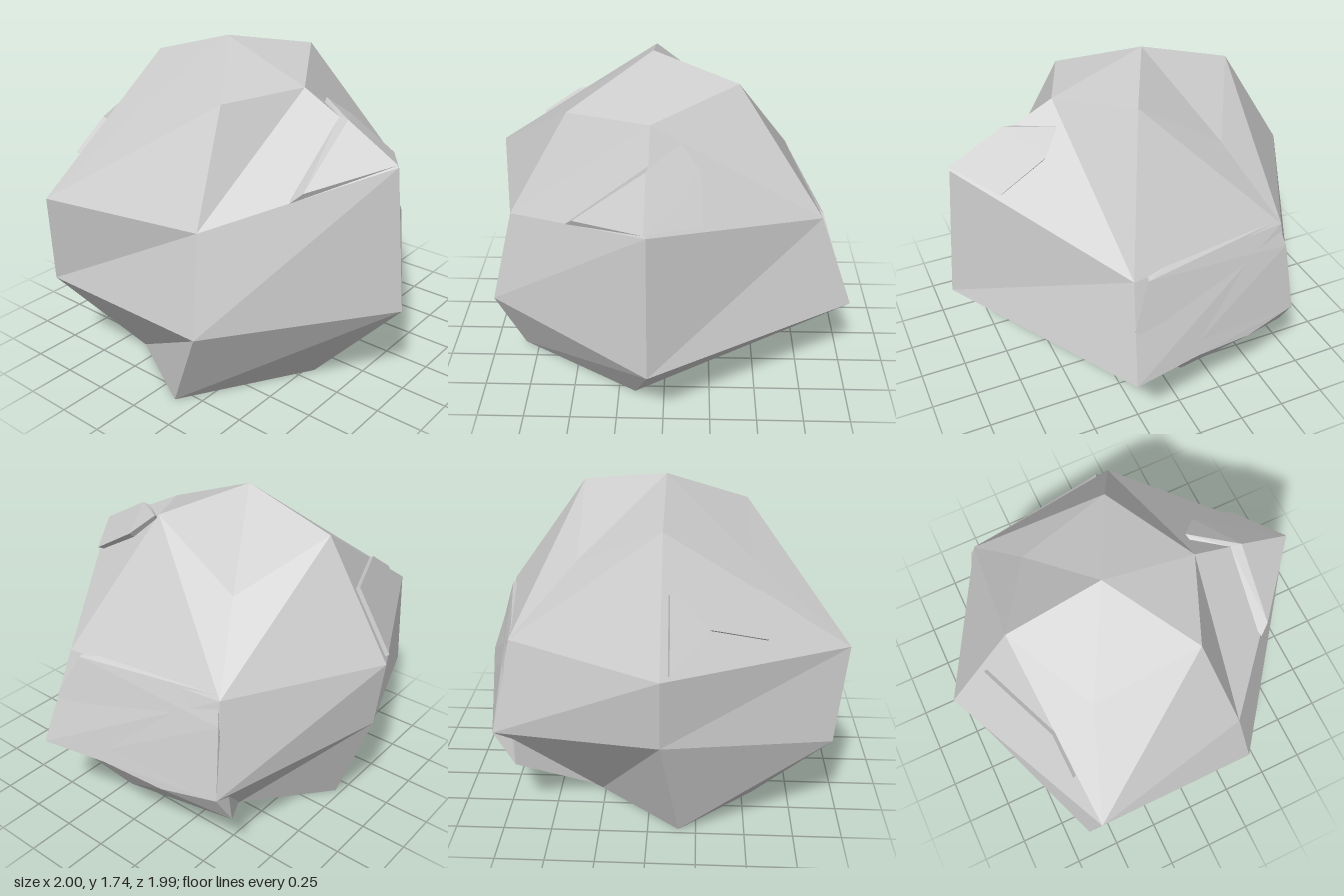
import * as THREE from 'three';
import { ConvexGeometry } from 'three/addons/geometries/ConvexGeometry.js';

const stone = new THREE.MeshStandardMaterial({ color: 0xcccccc, flatShading: true });

// Six-sided rings from the ground up: right, front right, front left, left, back left, back right
const RINGS = [
  [[0.54, 0, 0.16], [0.13, 0, 0.83], [-0.36, 0, 0.56], [-0.72, 0, 0.16], [-0.36, 0, -0.27], [0.13, 0, -0.27]],
  [[1, 0.5, 0.07], [0.37, 0.5, 0.93], [-0.63, 0.5, 0.93], [-0.96, 0.63, 0.07], [-0.63, 0.5, -0.8], [0.37, 0.5, -1]],
  [[0.93, 1.26, 0.07], [0.3, 1, 0.81], [-0.57, 1, 0.99], [-1, 1, 0.07], [-0.57, 1, -0.7], [0.31, 1, -0.82]],
  [[0.37, 1.55, 0.07], [0.19, 1.53, 0.5], [-0.38, 1.38, 0.5], [-0.63, 1.59, 0.07], [-0.38, 1.35, -0.37], [0.09, 1.65, -0.37]],
];
const TOP = [-0.13, 1.74, 0.07];
const BASE = [-0.11, 0, 0.22];
// Facets of the upper band whose crease leans the other way
const TURNED = [2, 4, 5];

function add(group, name, geometry) {
  const mesh = new THREE.Mesh(geometry, stone);
  mesh.name = name;
  group.add(mesh);
}

// Main boulder: triangles between neighbouring rings, closed at base and top
function boulderGeometry() {
  const p = [];
  const tri = (a, b, c) => p.push(...a, ...b, ...c);
  for (let k = 0; k < 6; k++) {
    const n = (k + 1) % 6;
    tri(BASE, RINGS[0][k], RINGS[0][n]);
    for (let r = 0; r < 3; r++) {
      const lo = RINGS[r], hi = RINGS[r + 1];
      if (r === 2 && TURNED.includes(k)) {
        tri(lo[n], lo[k], hi[n]);
        tri(lo[k], hi[k], hi[n]);
      } else {
        tri(lo[n], lo[k], hi[k]);
        tri(lo[n], hi[k], hi[n]);
      }
    }
    tri(RINGS[3][n], RINGS[3][k], TOP);
  }
  const g = new THREE.BufferGeometry();
  g.setAttribute('position', new THREE.Float32BufferAttribute(p, 3));
  g.computeVertexNormals();
  return g;
}

// Thin plate drawn in x and y, laid on the plane of a facet and standing out by the given height
function plateGeometry(outline, corners, height) {
  const sunk = 0.02;
  const shape = new THREE.Shape(outline.map(([x, y]) => new THREE.Vector2(x, y)));
  const g = new THREE.ExtrudeGeometry(shape, { depth: height + sunk, bevelEnabled: false });
  const plane = new THREE.Plane().setFromCoplanarPoints(...corners.map((q) => new THREE.Vector3(...q)));
  const n = plane.normal;
  const pos = g.attributes.position;
  for (let i = 0; i < pos.count; i++) {
    const x = pos.getX(i), y = pos.getY(i), h = pos.getZ(i) - sunk;
    const z = -(plane.constant + n.x * x + n.y * y) / n.z;
    pos.setXYZ(i, x + n.x * h, y + n.y * h, z + n.z * h);
  }
  g.computeVertexNormals();
  return g;
}

const chunk = (points) => new ConvexGeometry(points.map((q) => new THREE.Vector3(...q)));

export function createModel() {
  const rock = new THREE.Group();
  rock.name = 'rock';
  add(rock, 'boulder', boulderGeometry());

  // Flake standing slightly proud of the upper left facet
  add(rock, 'sideFlake', plateGeometry(
    [[-0.97, 1.02], [-0.79, 1.17], [-0.71, 1.09], [-0.59, 1.16], [-0.6, 1.3], [-0.775, 1.335]],
    [RINGS[2][3], RINGS[2][2], RINGS[3][3]], 0.022));

  // Raised slab on the right shoulder
  add(rock, 'shoulderSlab', chunk([
    [0.58, 1.44, 0.07], [0.64, 1.44, 0.08], [0.59, 1.12, 0.48], [0.64, 1.17, 0.44], [0.93, 1.275, 0.08],
    [0.4, 1.47, -0.08], [0.5, 1.37, -0.18], [0.75, 1.22, -0.19], [0.5, 1.1, 0.1],
  ]));

  // Bulging slab low on the back
  add(rock, 'backSlab', chunk([
    [0.34, 0.77, -0.905], [0.11, 0.43, -0.87], [0.12, 0.51, -0.945], [0, 0.25, -0.75], [-0.64, 0.32, -0.69],
    [-0.63, 0.5, -0.8], [-0.33, 0.46, -0.865], [-0.59, 0.88, -0.735], [-0.55, 1.02, -0.69],
    [0.24, 0.99, -0.83], [-0.2, 1.09, -0.65], [0.2, 1.06, -0.7],
    [-0.35, 0.005, -0.26], [0.12, 0.005, -0.26],
  ]));
  return rock;
}
